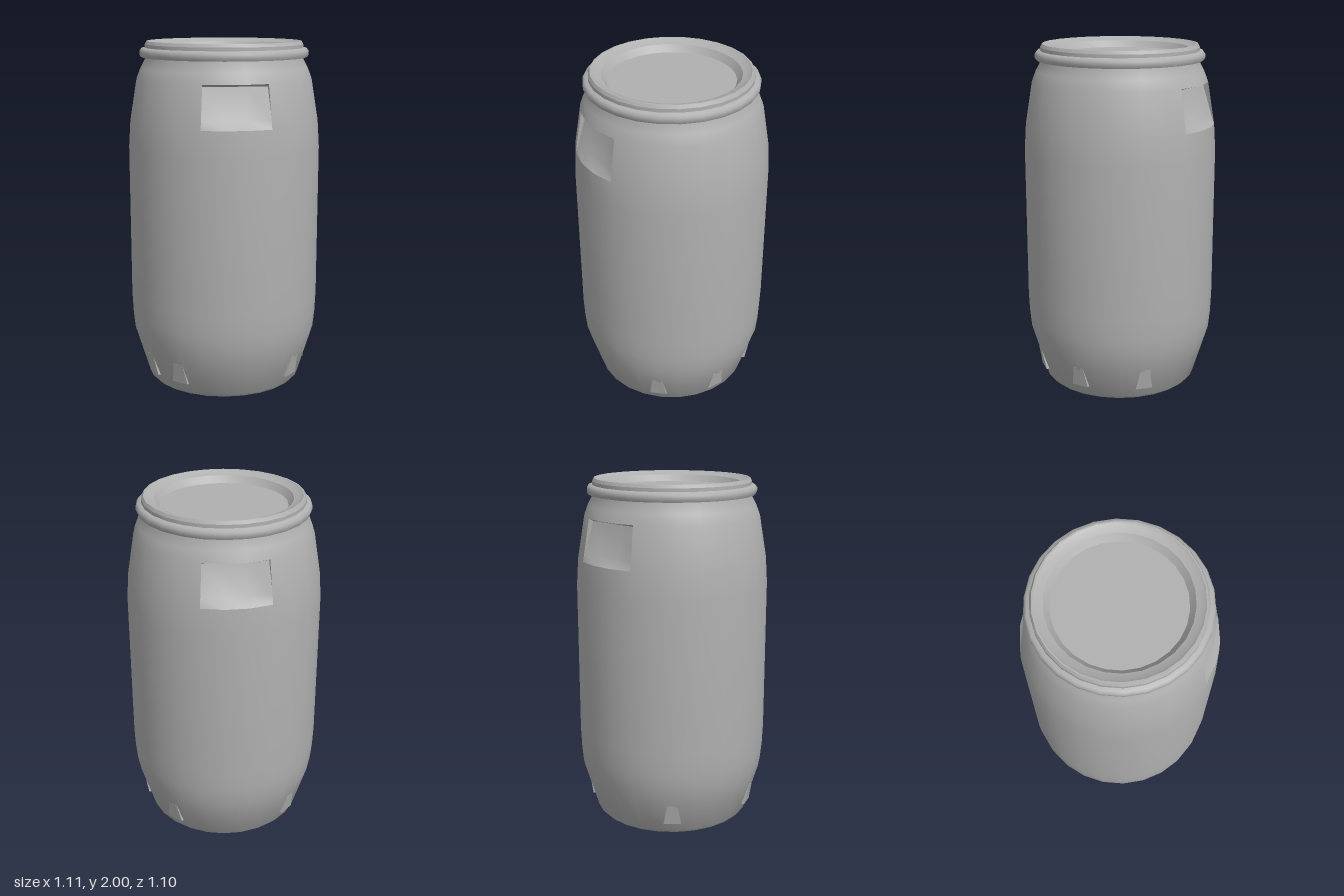
import * as THREE from 'three';
import { toCreasedNormals } from 'three/addons/utils/BufferGeometryUtils.js';

const SIDES = 26;
const STEP = (Math.PI * 2) / SIDES;
const LIP = [0.505, 1.79];   // radius, height of the grip's upper edge
const SILL = [0.545, 1.55];  // radius, height of the grip's lower edge

const grey = new THREE.MeshStandardMaterial({ color: 0xb0b0b0 });
grey.name = 'grey plastic';

function lathe(profile) {
  const points = profile.map(([r, y]) => new THREE.Vector2(r, y));
  return new THREE.LatheGeometry(points, SIDES, Math.PI / 2);
}

// Barrel wall with two openings for the hand grips
function bodyGeometry() {
  const profile = [
    [0, 0], [0.435, 0], [0.455, 0.02], [0.54, 0.3], [0.55, 0.4], [0.555, 0.52],
    [0.555, 1.4], SILL, LIP, [0.482, 1.85], [0.45, 1.91], [0.45, 1.93],
  ];
  const geo = lathe(profile);
  const rows = profile.length - 1;
  const gripRow = profile.indexOf(SILL);
  const old = geo.index.array;
  const kept = [];
  for (let i = 0; i < SIDES; i++) {
    for (let j = 0; j < rows; j++) {
      if (j === gripRow && [5, 6, 7, 18, 19, 20].includes(i)) continue;
      const k = (i * rows + j) * 6;
      for (let n = 0; n < 6; n++) kept.push(old[k + n]);
    }
  }
  geo.setIndex(kept);
  return toCreasedNormals(geo, 0.6);
}

// Sunken hand grip: ceiling, sloping back, sill and two cheeks
function gripGeometry() {
  const pos = [];
  const index = [];
  const rows = [
    { r: LIP[0], y: LIP[1] },
    { r: LIP[0], y: 1.775, z: 0.44 },
    { r: SILL[0], y: 1.6, z: 0.49 },
    { r: SILL[0], y: SILL[1] },
  ];
  for (const { r, y, z } of rows) {
    for (let c = 0; c < 4; c++) {
      const a = (c - 1.5) * STEP;
      pos.push(r * Math.sin(a), y, z ?? r * Math.cos(a));
    }
  }
  for (let r = 0; r < 3; r++) {
    for (let c = 0; c < 3; c++) {
      const a = r * 4 + c;
      index.push(a, a + 4, a + 5, a, a + 5, a + 1);
    }
  }
  index.push(0, 8, 4, 0, 12, 8, 3, 7, 11, 3, 11, 15);
  const geo = new THREE.BufferGeometry();
  geo.setAttribute('position', new THREE.Float32BufferAttribute(pos, 3));
  geo.setIndex(index);
  return toCreasedNormals(geo, 0.8);
}

// Small tapered lug standing slightly proud of the lower wall
function lugGeometry() {
  const geo = new THREE.BoxGeometry(0.1, 0.12, 0.1);
  const p = geo.attributes.position;
  for (let i = 0; i < p.count; i++) {
    const top = p.getY(i) > 0;
    const z = p.getZ(i) > 0 ? (top ? 0.506 : 0.483) : 0.42;
    p.setXYZ(i, p.getX(i) * (top ? 0.6 : 1), p.getY(i) + 0.135, z);
  }
  geo.computeVertexNormals();
  return geo;
}

export function createModel() {
  const model = new THREE.Group();
  model.name = 'barrel';
  const add = (name, geo, turn = 0) => {
    const mesh = new THREE.Mesh(geo, grey);
    mesh.name = name;
    mesh.rotation.y = turn;
    model.add(mesh);
  };

  add('body', bodyGeometry());

  const grip = gripGeometry();
  add('frontGrip', grip);
  add('backGrip', grip, Math.PI);

  // Clamping ring around the neck
  add('clampRing', toCreasedNormals(lathe([
    [0.44, 1.91], [0.478, 1.91], [0.486, 1.925], [0.486, 1.945], [0.475, 1.96], [0.44, 1.965],
  ]), 0.9));

  // Lid rim, dished wall and sunken floor
  add('lid', toCreasedNormals(lathe([
    [0.455, 1.95], [0.455, 1.982], [0.445, 2], [0.436, 2], [0.425, 1.992],
    [0.385, 1.98], [0.355, 1.942], [0, 1.942],
  ]), 0.5));

  // Lugs near the base
  const lug = lugGeometry();
  for (const degrees of [90, 47, -39, -66, -135, 135]) {
    add('baseLug', lug, THREE.MathUtils.degToRad(degrees));
  }
  return model;
}
